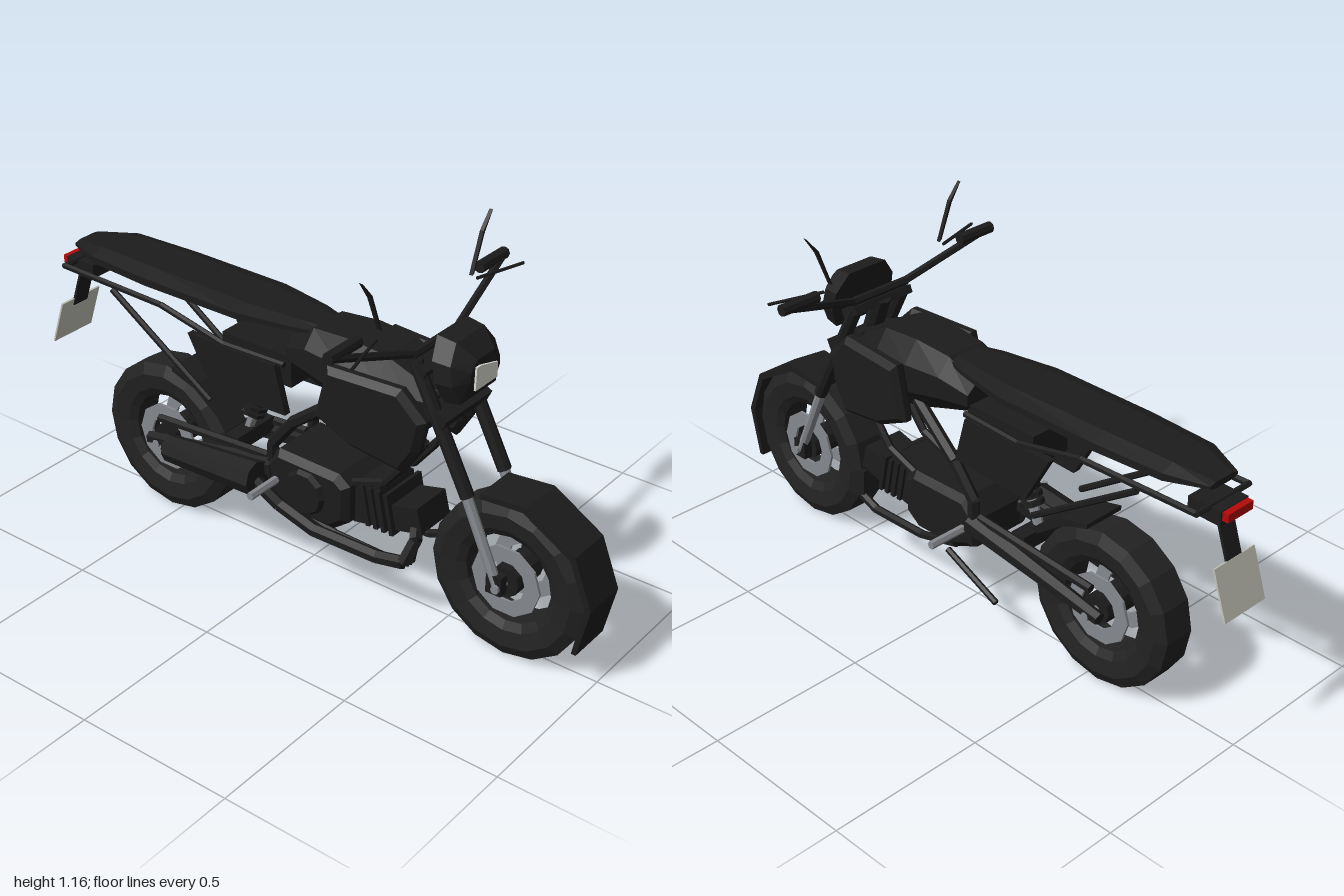
import * as THREE from 'three';

const mat = (name, color, side = THREE.DoubleSide) => {
  const m = new THREE.MeshStandardMaterial({ color, flatShading: true, side });
  m.name = name;
  return m;
};

export function createModel() {
  const black = mat('bodyBlack', 0x1c1c1c);
  const rubber = mat('tyreRubber', 0x222222);
  const steel = mat('steelGrey', 0x85888d);
  const white = mat('lampWhite', 0xdcdcd2);
  const plateMat = mat('plateGrey', 0xc4c5ba);
  const red = mat('tailRed', 0xb40808);
  const bike = new THREE.Group();
  bike.name = 'motorcycle';

  const add = (name, geo, m = black, parent = bike) => {
    const mesh = new THREE.Mesh(geo, m);
    mesh.name = name;
    parent.add(mesh);
    return mesh;
  };
  const box = (name, [w, h, d], [x, y, z], m = black, rx = 0) => {
    const b = add(name, new THREE.BoxGeometry(w, h, d), m);
    b.position.set(x, y, z);
    b.rotation.x = rx;
    return b;
  };
  // Straight tube between two points
  const rod = (name, a, b, r, m = black, r2 = r, sides = 6) => {
    const A = new THREE.Vector3(...a), B = new THREE.Vector3(...b);
    const mesh = add(name, new THREE.CylinderGeometry(r2, r, A.distanceTo(B), sides), m);
    mesh.position.copy(A).add(B).multiplyScalar(0.5);
    mesh.quaternion.setFromUnitVectors(new THREE.Vector3(0, 1, 0), B.sub(A).normalize());
    return mesh;
  };
  const pipe = (name, pts, r, m = black) => {
    for (let i = 0; i + 1 < pts.length; i++) rod(name, pts[i], pts[i + 1], r, m);
  };
  // Side outline given as [z, y], extruded from x0 to x1
  const side = (pts, x0, x1, bevel = 0) => {
    const shape = new THREE.Shape(pts.map(([z, y]) => new THREE.Vector2(-z, y)));
    const g = new THREE.ExtrudeGeometry(shape, {
      depth: x1 - x0 - 2 * bevel, bevelEnabled: bevel > 0, bevelSize: bevel,
      bevelThickness: bevel, bevelOffset: -bevel, bevelSegments: 1,
    });
    return g.rotateY(Math.PI / 2).translate(x0 + bevel, 0, 0);
  };
  // Skin over equal rings of points, with both ends closed
  const loft = (rings) => {
    const n = rings[0].length, pos = rings.flat(2), idx = [];
    for (let i = 0; i + 1 < rings.length; i++) {
      for (let j = 0; j < n; j++) {
        const a = i * n + j, b = i * n + (j + 1) % n;
        idx.push(a, a + n, b, b, a + n, b + n);
      }
    }
    const last = (rings.length - 1) * n;
    for (let j = 1; j + 1 < n; j++) idx.push(0, j, j + 1, last, last + j + 1, last + j);
    const g = new THREE.BufferGeometry();
    g.setAttribute('position', new THREE.Float32BufferAttribute(pos, 3));
    g.setIndex(idx);
    g.computeVertexNormals();
    return g;
  };
  const octagon = [[1, -0.4], [1, 0.4], [0.6, 1], [-0.6, 1], [-1, 0.4], [-1, -0.4], [-0.6, -1], [0.6, -1]];
  const ring = ([z, y0, y1, w]) => octagon.map(([u, v]) => [u * w, (y0 + y1) / 2 + v * (y1 - y0) / 2, z]);
  const lathe = (pts, n) => new THREE.LatheGeometry(pts.map(p => new THREE.Vector2(...p)), n).rotateZ(Math.PI / 2);

  // Wheels: tyre, floating brake discs, hub and axle
  for (const [name, z] of [['front', 0.72], ['rear', -0.54]]) {
    const wheel = new THREE.Group();
    wheel.name = name + 'Wheel';
    wheel.position.set(0, 0.253, z);
    bike.add(wheel);
    add('tyre', lathe([[0.14, -0.045], [0.165, -0.06], [0.215, -0.068], [0.25, -0.05], [0.25, 0.05],
      [0.215, 0.068], [0.165, 0.06], [0.14, 0.045], [0.14, -0.045]], 16), rubber, wheel);
    for (const x of [-0.055, 0.055]) {
      add('brakeDisc', lathe([[0.065, -0.004], [0.112, -0.004], [0.112, 0.004], [0.065, 0.004], [0.065, -0.004]], 10),
        steel, wheel).position.x = x;
    }
    add('hub', new THREE.CylinderGeometry(0.047, 0.047, 0.13, 10).rotateZ(Math.PI / 2), black, wheel);
    add('axle', new THREE.CylinderGeometry(0.013, 0.013, 0.23, 8).rotateZ(Math.PI / 2), steel, wheel);
  }

  // Fenders
  add('frontFender', side([[0.63, 0.51], [0.78, 0.525], [0.94, 0.43], [1, 0.28], [0.965, 0.12],
    [0.95, 0.12], [0.98, 0.28], [0.925, 0.415], [0.77, 0.505], [0.63, 0.495]], -0.072, 0.072));
  add('rearFender', side([[-0.29, 0.41], [-0.40, 0.495], [-0.50, 0.52], [-0.50, 0.505], [-0.41, 0.475], [-0.31, 0.40]], -0.07, 0.07));

  // Fuel tank and seat
  add('fuelTank', loft([[0.46, 0.66, 0.76, 0.07], [0.39, 0.62, 0.79, 0.1], [0.31, 0.6, 0.83, 0.12],
    [0.18, 0.62, 0.84, 0.12], [0.05, 0.66, 0.83, 0.11], [-0.04, 0.68, 0.77, 0.08]].map(ring)));
  add('seat', loft([[0.09, 0.8, 0.825, 0.05], [-0.02, 0.795, 0.83, 0.085], [-0.2, 0.785, 0.835, 0.118],
    [-0.55, 0.78, 0.84, 0.118], [-0.78, 0.785, 0.84, 0.105], [-0.9, 0.8, 0.82, 0.055]].map(ring)));

  // Headlight cowl: rear rim leans forward towards the bottom
  const cowl = [[0.07, 0.948], [-0.07, 0.948], [-0.112, 0.89], [-0.118, 0.83], [-0.09, 0.765], [0.09, 0.765], [0.118, 0.83], [0.112, 0.89]];
  add('headlightCowl', loft([
    cowl.map(([x, y]) => [x, y, 0.47 + (0.95 - y) * 0.25]),
    cowl.map(([x, y]) => [x * 0.95, 0.853 + (y - 0.853) * 0.92, 0.53 + (0.95 - y) * 0.18]),
    cowl.map(([x, y]) => [x * 0.6, 0.848 + (y - 0.848) * 0.48, 0.583]),
  ]));
  const lamp = new THREE.Shape([[-0.053, 0.808], [0.052, 0.808], [0.052, 0.855], [-0.03, 0.878], [-0.05, 0.878]].map(p => new THREE.Vector2(...p)));
  add('headlight', new THREE.ExtrudeGeometry(lamp, { depth: 0.006, bevelEnabled: false }).translate(0, 0, 0.583), white);

  // Steering head and fork clamps
  rod('steeringHead', [0, 0.66, 0.49], [0, 0.87, 0.41], 0.03, black, 0.03, 8);
  box('upperClamp', [0.22, 0.025, 0.07], [0, 0.85, 0.43], black, 0.45);
  box('lowerClamp', [0.22, 0.035, 0.07], [0, 0.72, 0.5], black, 0.45);
  box('radiator', [0.13, 0.13, 0.05], [0, 0.7, 0.43], black, 0.3);
  rod('handlebarCentre', [-0.11, 0.885, 0.42], [0.11, 0.885, 0.42], 0.013);

  // Mirrored parts
  const shroud = [[0.49, 0.71], [0.41, 0.79], [0.17, 0.79], [0.13, 0.62], [0.25, 0.56], [0.42, 0.53], [0.47, 0.61]];
  for (const s of [-1, 1]) {
    rod('forkTube', [s * 0.092, 0.25, 0.715], [s * 0.092, 0.54, 0.585], 0.016, steel, 0.016, 8);
    rod('upperFork', [s * 0.092, 0.5, 0.605], [s * 0.092, 0.86, 0.42], 0.021, black, 0.021, 8);
    box('forkFoot', [0.03, 0.06, 0.05], [s * 0.09, 0.26, 0.71]);

    const g = side(shroud, 0.1, 0.155, 0.018), p = g.attributes.position;
    for (let i = 0; i < p.count; i++) p.setX(i, s * (p.getX(i) + (0.44 - p.getZ(i)) * 0.08));
    g.computeVertexNormals();
    add('tankShroud', g);
    add('sidePanel', side([[-0.06, 0.69], [-0.39, 0.69], [-0.30, 0.53], [-0.02, 0.54]], s * 0.1 - 0.012, s * 0.1 + 0.012));

    // Controls
    rod('handlebar', [s * 0.1, 0.885, 0.42], [s * 0.4, 0.98, 0.37], 0.012);
    rod('grip', [s * 0.28, 0.982, 0.367], [s * 0.41, 0.982, 0.367], 0.018, black, 0.018, 8);
    rod('lever', [s * 0.235, 0.973, 0.39], [s * 0.4, 0.973, 0.438], 0.005);
    const blade = new THREE.Shape([[0.21, 0.99], [0.218, 0.995], [0.262, 1.105], [0.298, 1.16], [0.255, 1.11]]
      .map(([x, y]) => new THREE.Vector2(s * x, y)));
    add('mirror', new THREE.ExtrudeGeometry(blade, { depth: 0.012, bevelEnabled: false }).translate(0, 0, 0.38));

    // Frame tubes
    pipe('downTube', [[s * 0.06, 0.6, 0.44], [s * 0.07, 0.52, 0.39], [s * 0.07, 0.42, 0.31], [s * 0.07, 0.38, 0.2]], 0.013);
    pipe('cradleTube', [[s * 0.08, 0.29, 0.43], [s * 0.09, 0.21, 0.42], [s * 0.09, 0.185, 0.36], [s * 0.09, 0.19, 0.15], [s * 0.09, 0.23, 0]], 0.014);
    pipe('mainTube', [[s * 0.08, 0.65, 0.17], [s * 0.095, 0.52, 0], [s * 0.095, 0.42, -0.08], [s * 0.095, 0.27, -0.08]], 0.019);
    pipe('seatRail', [[s * 0.09, 0.69, -0.04], [s * 0.1, 0.69, -0.26], [s * 0.105, 0.745, -0.5], [s * 0.105, 0.755, -0.9]], 0.01);
    rod('seatStay', [s * 0.1, 0.48, -0.32], [s * 0.105, 0.735, -0.7], 0.01);
    rod('swingarm', [s * 0.095, 0.34, -0.07], [s * 0.095, 0.255, -0.58], 0.034, black, 0.02);
    rod('swingarmBrace', [s * 0.09, 0.365, -0.1], [s * 0.09, 0.335, -0.54], 0.014);
    rod('footPeg', [s * 0.1, 0.315, -0.05], [s * 0.24, 0.315, -0.05], 0.013, steel);
  }
  rod('rearCrossbar', [-0.11, 0.755, -0.9], [0.11, 0.755, -0.9], 0.009);

  // Engine
  add('crankcase', side([[0.21, 0.38], [0.17, 0.41], [-0.05, 0.415], [-0.1, 0.36], [-0.09, 0.26], [0, 0.22], [0.15, 0.215], [0.21, 0.26]], -0.12, 0.11, 0.02));
  box('cylinder', [0.15, 0.13, 0.12], [0, 0.325, 0.25], black, -0.2);
  for (let i = 0; i < 4; i++) box('coolingFin', [0.17, 0.13, 0.014], [0, 0.325, 0.25 + i * 0.028], black, -0.2);
  box('cylinderHead', [0.14, 0.08, 0.1], [0, 0.325, 0.385], black, -0.25);
  rod('engineCover', [-0.11, 0.315, 0.06], [-0.135, 0.315, 0.06], 0.08, black, 0.065, 10);

  // Exhaust on the right side
  pipe('exhaustPipe', [[-0.03, 0.32, 0.4], [-0.08, 0.28, 0.43], [-0.11, 0.21, 0.41], [-0.115, 0.195, 0.32],
    [-0.125, 0.2, 0.1], [-0.14, 0.25, -0.02], [-0.155, 0.31, -0.1]], 0.021);
  rod('muffler', [-0.155, 0.32, -0.09], [-0.155, 0.295, -0.44], 0.055, black, 0.043, 8);
  rod('mufflerTip', [-0.155, 0.295, -0.43], [-0.155, 0.293, -0.46], 0.022, black, 0.022, 8);

  // Rear shock with coils
  rod('shockRod', [0, 0.35, -0.26], [0, 0.68, -0.13], 0.016, steel);
  for (let i = 0; i < 8; i++) {
    const t = i / 7, y = 0.43 + t * 0.16, z = -0.228 + t * 0.063;
    rod('springCoil', [0, y, z], [0, y + 0.014, z + 0.006], 0.036, black, 0.036, 8);
  }
  box('shockMount', [0.17, 0.05, 0.05], [0, 0.35, -0.25]);
  box('airbox', [0.14, 0.1, 0.26], [0, 0.66, -0.16]);
  rod('kickstand', [0.115, 0.215, 0.01], [0.132, 0.14, -0.21], 0.01);

  // Tail
  box('tailHousing', [0.11, 0.045, 0.11], [0, 0.735, -0.885]);
  box('tailLight', [0.1, 0.026, 0.03], [0, 0.742, -0.945], red);
  const lean = Math.atan2(0.05, 0.15);
  box('plateHanger', [0.06, 0.16, 0.008], [0, 0.65, -0.93], black, lean);
  box('numberPlate', [0.165, 0.155, 0.006], [0, 0.525, -0.974], plateMat, lean);

  return bike;
}
